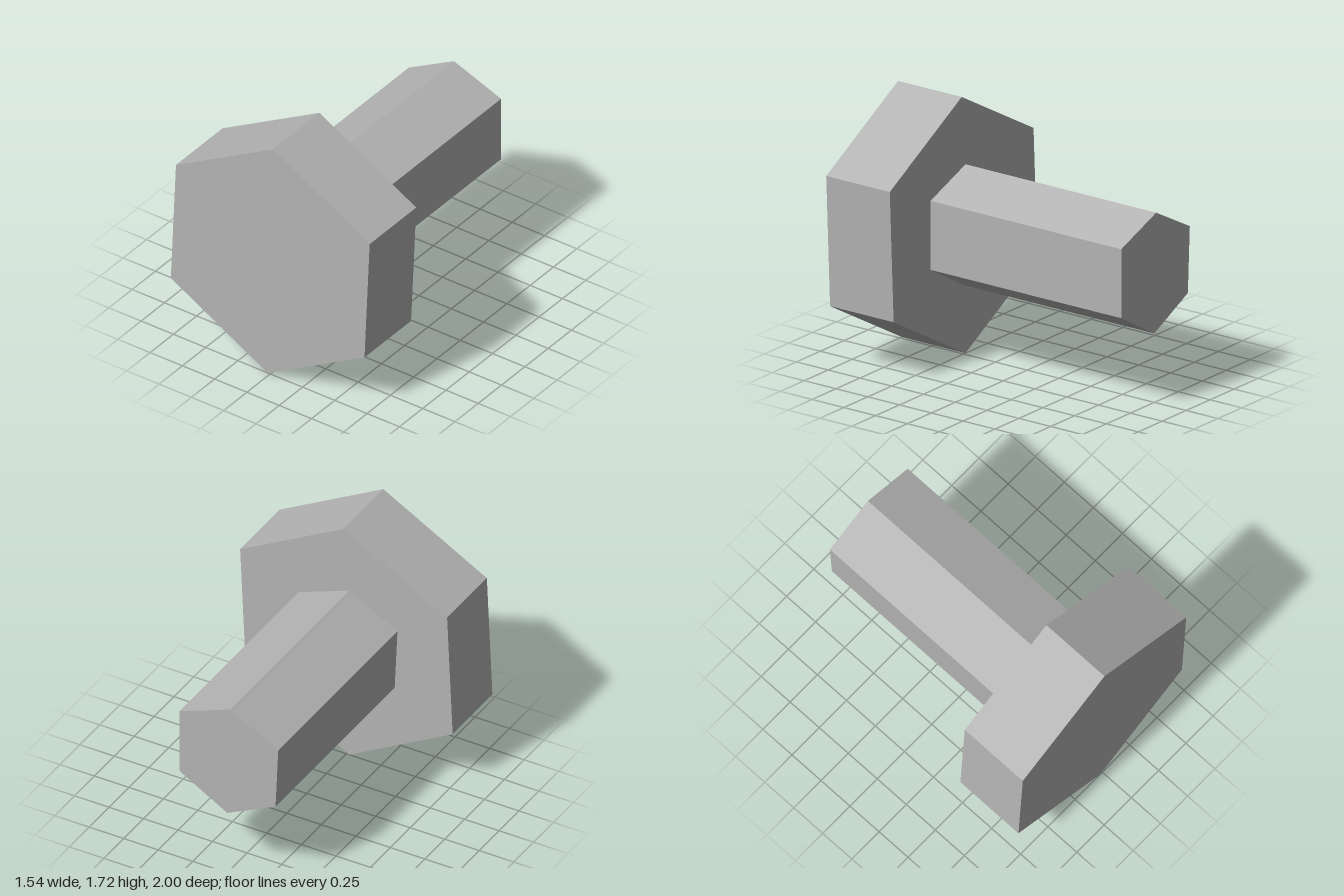
import * as THREE from 'three';

// Flat-sided prism from an outline, running from zBack to zFront
function prism(name, outline, zBack, zFront, material) {
  const shape = new THREE.Shape(outline.map(([x, y]) => new THREE.Vector2(x, y)));
  const geometry = new THREE.ExtrudeGeometry(shape, { depth: zFront - zBack, bevelEnabled: false });
  geometry.translate(0, 0, zBack);
  const mesh = new THREE.Mesh(geometry, material);
  mesh.name = name;
  return mesh;
}

export function createModel() {
  const steel = new THREE.MeshStandardMaterial({ color: 0xb4b4b4 });
  steel.name = 'steel grey';

  const bolt = new THREE.Group();
  bolt.name = 'bolt';

  // Wide six-sided head, turned very slightly
  const headOutline = [
    [0.02, 1.72], [-0.73, 1.3], [-0.77, 0.42],
    [-0.02, 0], [0.73, 0.42], [0.77, 1.3],
  ];
  bolt.add(prism('head', headOutline, 0.5, 1, steel));

  // Long, slightly uneven six-sided shank
  const shankOutline = [
    [-0.02, 1.26], [-0.37, 1.07], [-0.35, 0.63],
    [0, 0.46], [0.345, 0.66], [0.345, 1.12],
  ];
  bolt.add(prism('shank', shankOutline, -1, 0.5, steel));

  return bolt;
}
